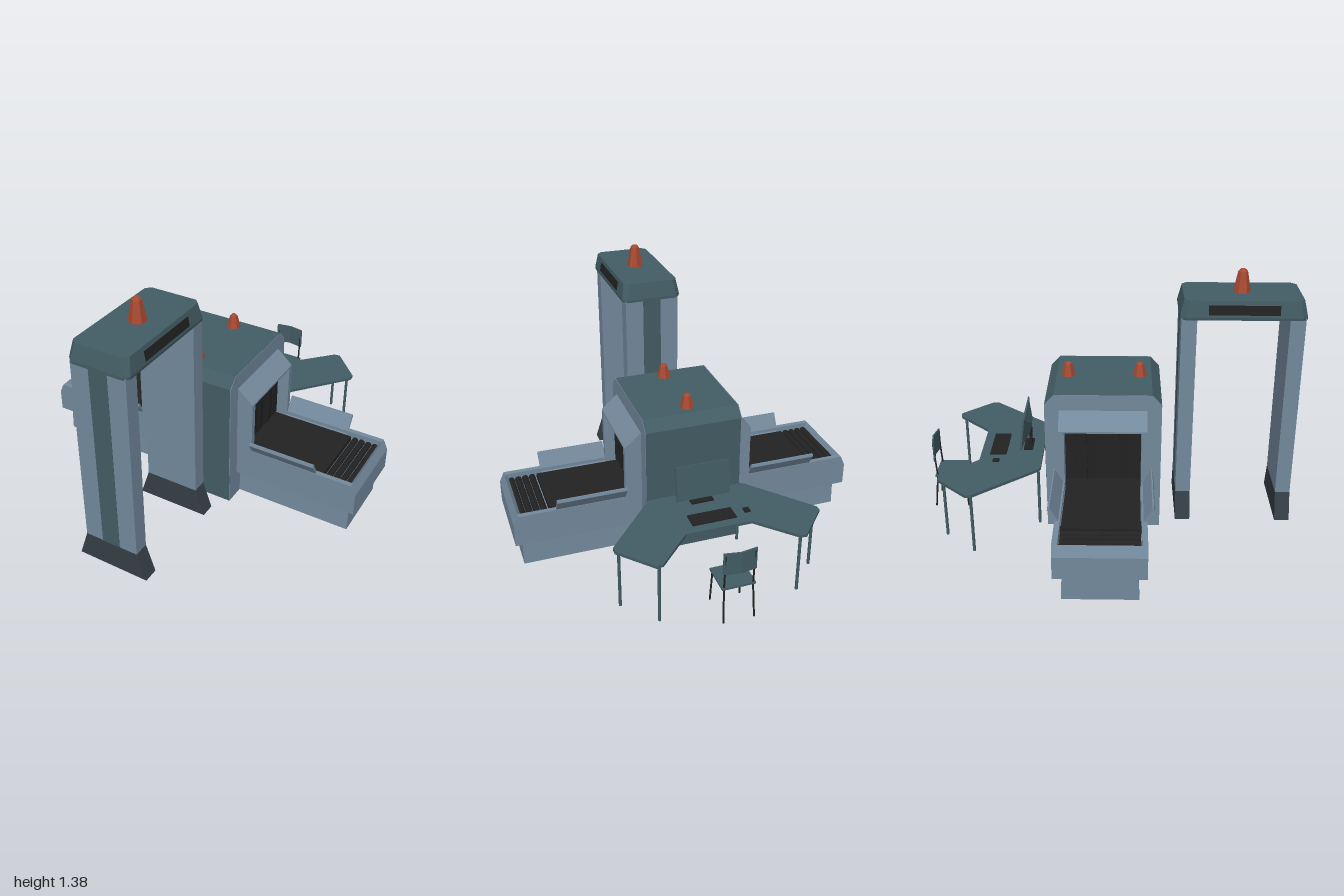
import * as THREE from 'three';

const mat = (color) => new THREE.MeshStandardMaterial({ color, flatShading: true, side: THREE.DoubleSide });
const blue = mat(0x73899c), teal = mat(0x425c64), dark = mat(0x222222), red = mat(0xa84a32), foot = mat(0x353d45);

const ZC = -0.035; // centre line of the scanner

function add(parent, name, geometry, material, x = 0, y = 0, z = 0) {
  const mesh = new THREE.Mesh(geometry, material);
  mesh.name = name;
  mesh.position.set(x, y, z);
  parent.add(mesh);
  return mesh;
}

// Box given by its limits on each axis
function box(parent, name, material, [x0, x1], [y0, y1], [z0, z1]) {
  return add(parent, name, new THREE.BoxGeometry(x1 - x0, y1 - y0, z1 - z0), material,
    (x0 + x1) / 2, (y0 + y1) / 2, (z0 + z1) / 2);
}

// Outline extruded by depth, centred on the extrusion axis.
// axis z: points are (x, y); axis x: points are (z, y); axis y: points are (x, z)
function prism(points, depth, axis = 'z') {
  const shape = new THREE.Shape(points.map(([a, b]) => new THREE.Vector2(a, b)));
  const g = new THREE.ExtrudeGeometry(shape, { depth, bevelEnabled: false });
  g.translate(0, 0, -depth / 2);
  if (axis === 'x') g.rotateY(-Math.PI / 2);
  if (axis === 'y') g.rotateX(Math.PI / 2);
  return g;
}

// Chamfered rectangular rings joined bottom to top and capped
function loft(rings) {
  const pos = [], idx = [], n = 8;
  for (const [y, hx, hz, c] of rings) {
    const ring = [[hx, hz - c], [hx - c, hz], [c - hx, hz], [-hx, hz - c],
      [-hx, c - hz], [c - hx, -hz], [hx - c, -hz], [hx, c - hz]];
    for (const [x, z] of ring) pos.push(x, y, z);
  }
  const last = (rings.length - 1) * n;
  for (let r = 0; r < last; r += n) {
    for (let i = 0; i < n; i++) {
      const j = (i + 1) % n;
      idx.push(r + i, r + n + i, r + j, r + j, r + n + i, r + n + j);
    }
  }
  for (let i = 1; i < n - 1; i++) {
    idx.push(0, i, i + 1, last, last + i + 1, last + i);
  }
  const g = new THREE.BufferGeometry();
  g.setAttribute('position', new THREE.Float32BufferAttribute(pos, 3));
  g.setIndex(idx);
  g.computeVertexNormals();
  return g;
}

// Six-sided warning lamp with a small faceted dome
function lamp(parent, name, y, z, r, h) {
  const profile = [[r, 0], [r * 0.8, h * 0.4], [r * 0.55, h * 0.9], [r * 0.35, h], [0, h]]
    .map(([a, b]) => new THREE.Vector2(a, b));
  add(parent, name, new THREE.LatheGeometry(profile, 6), red, 0, y, z);
}

function buildGate() {
  const gate = new THREE.Group();
  gate.name = 'detectorGate';
  gate.position.z = 0.675;
  for (const s of [1, -1]) {
    box(gate, 'post', blue, [-0.15, 0.15], [0.15, 1.17], s > 0 ? [0.235, 0.315] : [-0.315, -0.235]);
    add(gate, 'flaredFoot', prism([[-0.2, 0], [0.2, 0], [0.15, 0.15], [-0.15, 0.15]], 0.08), foot, 0, 0, s * 0.275);
    add(gate, 'postStrip', new THREE.BoxGeometry(0.1, 1.01, 0.004), teal, 0, 0.655, s * 0.315);
    // Display panel on the sloping side of the head
    const panel = add(gate, 'headPanel', new THREE.BoxGeometry(0.004, 0.05, 0.36), dark, s * 0.159, 1.212, 0);
    panel.rotation.z = s * 0.16;
  }
  add(gate, 'head', loft([[1.16, 0.163, 0.322, 0.025], [1.175, 0.165, 0.322, 0.025], [1.26, 0.15, 0.302, 0.025]]), teal);
  lamp(gate, 'gateLamp', 1.26, 0, 0.046, 0.12);
  return gate;
}

// One end of the conveyor, running out along +x
function buildConveyor() {
  const end = new THREE.Group();
  end.name = 'conveyorEnd';

  // Plinth and trough
  add(end, 'plinth', prism([[-0.19, 0], [0.19, 0], [0.183, 0.15], [-0.183, 0.15]], 0.66, 'x'), blue, 0.575, 0, ZC);
  box(end, 'troughFloor', blue, [0.2, 0.91], [0.15, 0.27], [-0.235, 0.165]);
  const side = [[0.2, 0.15], [0.945, 0.15], [0.945, 0.27], [0.92, 0.325], [0.2, 0.325]];
  const rim = [[0.9, 0.15], [0.945, 0.15], [0.945, 0.27], [0.92, 0.325], [0.9, 0.3]];
  add(end, 'troughEnd', prism(rim, 0.4), blue, 0, 0, ZC);

  // Belt and end rollers
  box(end, 'belt', dark, [0.2, 0.745], [0.26, 0.298], [-0.233, 0.163]);
  for (let i = 0; i < 4; i++) {
    const roller = add(end, 'roller', new THREE.CylinderGeometry(0.018, 0.018, 0.39, 8), dark, 0.772 + i * 0.038, 0.285, ZC);
    roller.rotation.x = Math.PI / 2;
  }

  // Hood around the tunnel mouth
  const cheek = [[0.25, 0.29], [0.35, 0.29], [0.35, 0.62], [0.26, 0.7], [0.25, 0.7]];
  const lintel = [[0.25, 0.61], [0.35, 0.61], [0.35, 0.62], [0.26, 0.7], [0.25, 0.7]];
  add(end, 'hoodLintel', prism(lintel, 0.4), blue, 0, 0, ZC);
  box(end, 'tunnelDark', dark, [0.255, 0.266], [0.29, 0.62], [-0.235, 0.165]);

  for (const s of [1, -1]) {
    add(end, 'troughSide', prism(side, 0.028), blue, 0, 0, ZC + s * 0.213);
    add(end, 'hoodCheek', prism(cheek, 0.03), blue, 0, 0, ZC + s * 0.214);
    // Outward leaning guard
    const guard = [[0.195, 0.3], [0.207, 0.3], [0.262, 0.385], [0.258, 0.4], [0.25, 0.4]].map(([z, y]) => [s * z, y]);
    add(end, 'sideGuard', prism(guard, 0.37, 'x'), blue, 0.535, 0, ZC);
  }

  // Curtain strips, each turned a little
  for (let i = 0; i < 7; i++) {
    const strip = add(end, 'curtainStrip', new THREE.BoxGeometry(0.005, 0.3, 0.052), dark, 0.285, 0.46, ZC + (i - 3) * 0.055);
    strip.rotation.y = 0.2 * Math.sin(i * 2.3);
  }
  return end;
}

function buildScanner() {
  const scanner = new THREE.Group();
  scanner.name = 'baggageScanner';
  const outline = [[-0.305, 0], [0.305, 0], [0.305, 0.73], [0.255, 0.785], [-0.255, 0.785], [-0.305, 0.73]];
  add(scanner, 'cabinet', prism(outline, 0.52, 'x'), teal, 0, 0, ZC);
  for (const s of [1, -1]) {
    // Pale end panel of the cabinet
    add(scanner, 'cabinetEnd', prism(outline, 0.004, 'x'), blue, s * 0.26, 0, ZC);
    lamp(scanner, 'scannerLamp', 0.785, ZC + s * 0.192, 0.038, 0.075);
  }
  const left = buildConveyor(), right = buildConveyor();
  right.scale.x = -1;
  scanner.add(left, right);
  return scanner;
}

function buildDesk() {
  const desk = new THREE.Group();
  desk.name = 'operatorDesk';
  const half = [[0.25, -0.37], [0.27, -0.38], [0.54, -0.7], [0.54, -0.73], [0.385, -0.9], [0.35, -0.895], [0.175, -0.71]];
  const top = [...half, ...half.map(([x, z]) => [-x, z]).reverse()];
  add(desk, 'deskTop', prism(top, 0.016, 'y'), teal, 0, 0.345, 0);
  for (const s of [1, -1]) {
    for (const [x, z] of [[0.24, -0.385], [0.515, -0.705], [0.365, -0.872]]) {
      add(desk, 'deskLeg', new THREE.CylinderGeometry(0.008, 0.008, 0.34, 6), teal, s * x, 0.17, z);
    }
  }

  // Keyboard and mouse
  box(desk, 'keyboard', dark, [-0.115, 0.12], [0.35, 0.359], [-0.66, -0.57]);
  box(desk, 'mouse', dark, [-0.2, -0.17], [0.35, 0.362], [-0.635, -0.6]);

  // Monitor: leaning screen, bulged back and stand
  const monitor = new THREE.Group();
  monitor.name = 'monitor';
  monitor.position.set(0, 0.487, -0.476);
  monitor.rotation.x = 0.12;
  add(monitor, 'screen', new THREE.BoxGeometry(0.29, 0.19, 0.01), teal);
  const shell = new THREE.CylinderGeometry(0.05, 0.19, 0.035, 4, 1).rotateY(Math.PI / 4).rotateX(Math.PI / 2);
  add(monitor, 'monitorBack', shell.scale(1, 0.65, 1), teal, 0, 0, 0.02);
  desk.add(monitor);
  box(desk, 'monitorNeck', dark, [-0.02, 0.02], [0.353, 0.46], [-0.452, -0.438]);
  box(desk, 'monitorFoot', dark, [-0.06, 0.06], [0.352, 0.362], [-0.48, -0.43]);
  return desk;
}

function buildChair() {
  const chair = new THREE.Group();
  chair.name = 'chair';
  box(chair, 'seat', teal, [-0.087, 0.087], [0.19, 0.2], [-0.98, -0.81]);
  add(chair, 'backrest', prism([[-0.085, -0.982], [0, -0.997], [0.085, -0.982], [0.085, -0.974], [0, -0.988], [-0.085, -0.974]], 0.12, 'y'),
    teal, 0, 0.345, 0);
  const rod = (name, a, b) => {
    const path = new THREE.LineCurve3(new THREE.Vector3(...a), new THREE.Vector3(...b));
    add(chair, name, new THREE.TubeGeometry(path, 1, 0.005, 5), dark);
  };
  for (const s of [1, -1]) {
    rod('frontLeg', [s * 0.08, 0, -0.806], [s * 0.075, 0.192, -0.82]);
    rod('backLeg', [s * 0.08, 0, -0.99], [s * 0.075, 0.192, -0.97]);
    rod('backPost', [s * 0.075, 0.19, -0.97], [s * 0.075, 0.39, -0.982]);
  }
  return chair;
}

export function createModel() {
  const model = new THREE.Group();
  model.name = 'securityCheckpoint';
  model.add(buildGate(), buildScanner(), buildDesk(), buildChair());
  return model;
}
